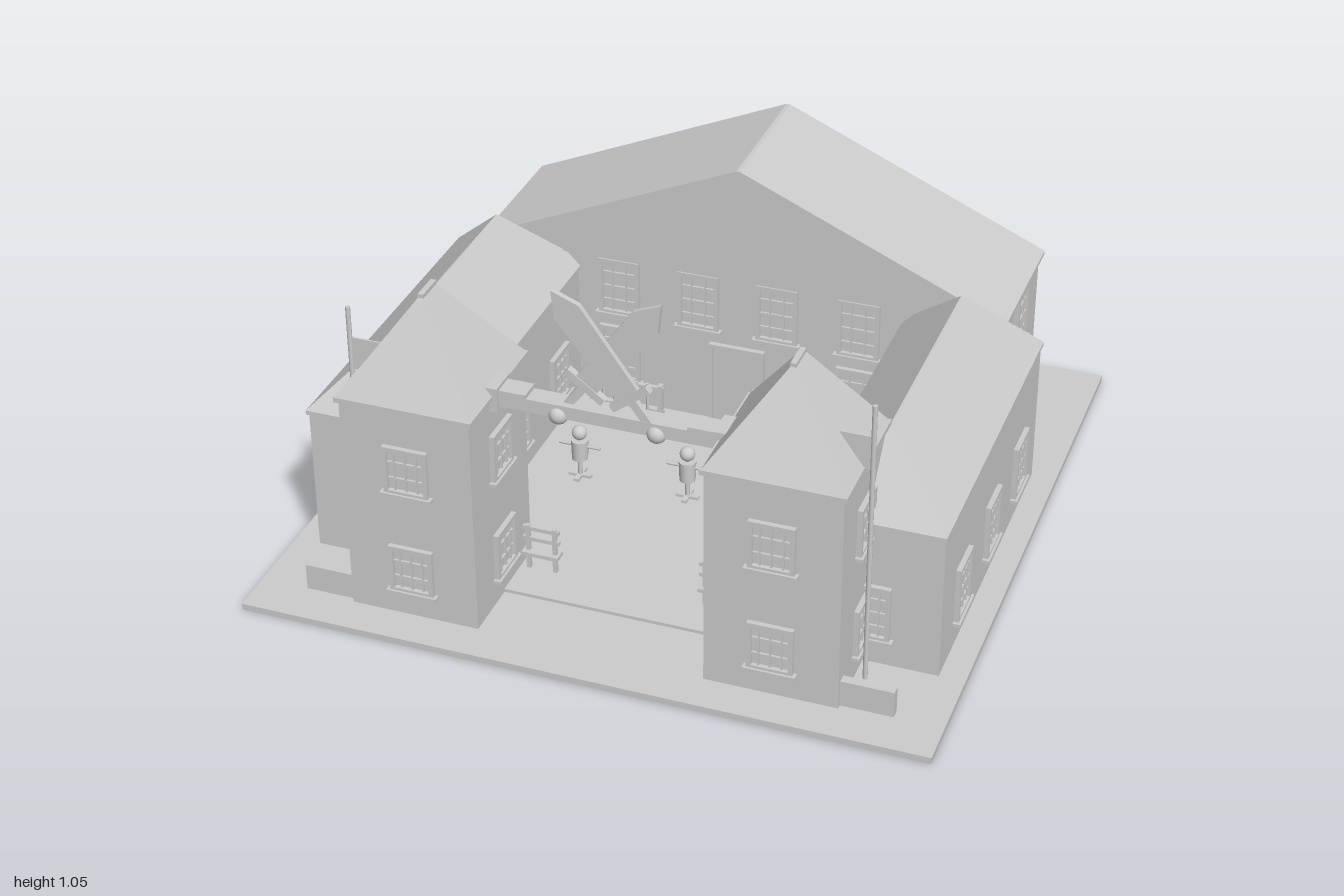
import * as THREE from 'three';

const stone = new THREE.MeshStandardMaterial({ color: 0xcccccc });
stone.name = 'light grey';

function mesh(parent, geo, name, x = 0, y = 0, z = 0) {
  const m = new THREE.Mesh(geo, stone);
  m.name = name;
  m.position.set(x, y, z);
  parent.add(m);
  return m;
}

// Box given by its lower and upper corners
function block(parent, name, x0, x1, y0, y1, z0, z1) {
  return mesh(parent, new THREE.BoxGeometry(x1 - x0, y1 - y0, z1 - z0), name,
    (x0 + x1) / 2, (y0 + y1) / 2, (z0 + z1) / 2);
}

// Box whose top face shrinks to the given ridge size
function roof(parent, name, x, y, z, w, h, d, topW, topD) {
  const g = new THREE.BoxGeometry(w, h, d);
  const p = g.attributes.position;
  for (let i = 0; i < p.count; i++) {
    if (p.getY(i) > 0) p.setXYZ(i, Math.sign(p.getX(i)) * topW / 2, h / 2, Math.sign(p.getZ(i)) * topD / 2);
  }
  const flat = g.toNonIndexed();
  flat.computeVertexNormals();
  return mesh(parent, flat, name, x, y + h / 2, z);
}

// Framed window with glazing bars; faces +z before turning
function windowAt(parent, x, y, z, h, turn, cols = 4) {
  const g = new THREE.Group();
  g.name = 'window';
  const w = 0.13, t = 0.013, rows = h > 0.16 ? 4 : 3;
  block(g, 'pane', -w / 2, w / 2, -h / 2, h / 2, -0.005, 0.002);
  for (const s of [-1, 1]) {
    mesh(g, new THREE.BoxGeometry(t, h, 0.022), 'frameSide', s * (w - t) / 2, 0, 0.004);
    mesh(g, new THREE.BoxGeometry(w, t, 0.022), 'frameRail', 0, s * (h - t) / 2, 0.004);
  }
  for (let i = 1; i < cols; i++) {
    mesh(g, new THREE.BoxGeometry(0.005, h, 0.01), 'verticalBar', -w / 2 + w * i / cols, 0, 0.004);
  }
  for (let i = 1; i < rows; i++) {
    mesh(g, new THREE.BoxGeometry(w, 0.005, 0.01), 'crossBar', 0, -h / 2 + h * i / rows, 0.004);
  }
  mesh(g, new THREE.BoxGeometry(w + 0.02, 0.01, 0.03), 'sill', 0, -h / 2, 0.007);
  g.position.set(x, y, z);
  g.rotation.y = turn;
  parent.add(g);
}

const LEFT = Math.PI / 2, RIGHT = -Math.PI / 2, BACK = Math.PI;

function mainHall() {
  const g = new THREE.Group();
  g.name = 'mainHall';
  block(g, 'hallWalls', -0.81, 0.81, 0.02, 0.53, -0.81, -0.355);
  block(g, 'hallEaves', -0.825, 0.825, 0.525, 0.537, -0.818, -0.345);
  roof(g, 'hallRoof', 0, 0.537, -0.5815, 1.65, 0.358, 0.473, 0.012, 0.473);
  for (const y of [0.195, 0.43]) {
    for (const s of [-1, 1]) {
      for (const x of [0.125, 0.38, 0.63]) {
        windowAt(g, s * x, y, -0.81, 0.19, BACK, 3);
        if (x < 0.5 && (y > 0.3 || x > 0.3)) windowAt(g, s * x, y, -0.355, 0.19, 0, 3);
      }
      windowAt(g, s * 0.81, y, -0.58, 0.19, s > 0 ? LEFT : RIGHT, 3);
    }
  }
  // Entrance door
  block(g, 'door', -0.075, 0.075, 0.02, 0.28, -0.36, -0.347);
  for (const s of [-1, 1]) mesh(g, new THREE.BoxGeometry(0.012, 0.27, 0.025), 'doorPost', s * 0.082, 0.155, -0.35);
  block(g, 'doorLintel', -0.088, 0.088, 0.28, 0.293, -0.362, -0.338);
  mesh(g, new THREE.SphereGeometry(0.006, 10, 8), 'doorKnob', 0.055, 0.15, -0.344);
  return g;
}

function wing(s) {
  const g = new THREE.Group();
  g.name = s > 0 ? 'leftWing' : 'rightWing';
  const x = s * 0.72;
  block(g, 'wingWalls', x - 0.205, x + 0.205, 0.02, 0.47, -0.38, 0.66);
  block(g, 'wingEaves', x - 0.21, x + 0.21, 0.465, 0.478, -0.39, 0.67);
  roof(g, 'wingRoof', x, 0.478, 0.14, 0.42, 0.207, 1.06, 0.006, 0.72);
  for (const z of [0.46, 0.145, -0.17]) {
    windowAt(g, s * 0.925, 0.19, z, 0.175, s > 0 ? LEFT : RIGHT);
    windowAt(g, s * 0.515, 0.19, z, 0.175, s > 0 ? RIGHT : LEFT);
  }
  windowAt(g, x, 0.19, 0.66, 0.175, 0);
  return g;
}

function tower(s) {
  const g = new THREE.Group();
  g.name = s > 0 ? 'leftTower' : 'rightTower';
  const x = s * 0.52, z = 0.695;
  block(g, 'towerWalls', x - 0.19, x + 0.19, 0.02, 0.685, z - 0.19, z + 0.19);
  block(g, 'towerEaves', x - 0.2, x + 0.2, 0.685, 0.7, z - 0.2, z + 0.2);
  roof(g, 'towerRoof', x, 0.7, z, 0.39, 0.265, 0.39, 0.008, 0.08);
  mesh(g, new THREE.BoxGeometry(0.016, 0.012, 0.085), 'ridgeCap', x, 0.966, z);
  for (const y of [0.175, 0.5]) {
    windowAt(g, x, y, z + 0.19, 0.15, 0);
    windowAt(g, x + 0.19, y, z, 0.15, LEFT);
    windowAt(g, x - 0.19, y, z, 0.15, RIGHT);
  }
  windowAt(g, x, 0.5, z - 0.19, 0.15, BACK);
  // Low wall, flag and bench beside the tower
  mesh(g, new THREE.BoxGeometry(0.15, 0.08, 0.028), 'lowWall', s * 0.785, 0.06, 0.857);
  mesh(g, new THREE.CylinderGeometry(0.007, 0.007, 0.87, 10), 'flagPole', s * 0.74, 0.455, 0.735);
  mesh(g, new THREE.BoxGeometry(0.1, 0.1, 0.005), 'flag', s * 0.692, 0.745, 0.735);
  for (const [y, d] of [[0.085, 0.04], [0.13, 0.012], [0.165, 0.012]]) {
    mesh(g, new THREE.BoxGeometry(0.11, 0.012, d), 'benchPlank', s * 0.265, y, 0.575);
  }
  for (const dx of [-0.04, 0.04]) {
    mesh(g, new THREE.BoxGeometry(0.012, 0.15, 0.012), 'benchPost', s * 0.265 + dx, 0.1, 0.575);
  }
  return g;
}

// Crossed swords on the gate beam
function sword(s, z) {
  const g = new THREE.Group();
  g.name = 'sword';
  const pts = [[-0.036, 0.13], [0.036, 0.13], [0.044, 0.41], [0, 0.482], [-0.044, 0.41]];
  const shape = new THREE.Shape(pts.map(p => new THREE.Vector2(...p)));
  mesh(g, new THREE.ExtrudeGeometry(shape, { depth: 0.016, bevelEnabled: false }), 'blade', 0, 0, -0.008);
  mesh(g, new THREE.BoxGeometry(0.13, 0.022, 0.022), 'crossGuard', 0, 0.12, 0);
  mesh(g, new THREE.BoxGeometry(0.024, 0.12, 0.018), 'grip', 0, 0.06, 0);
  mesh(g, new THREE.SphereGeometry(0.028, 20, 14), 'pommel', 0, 0, 0.71 - z + 0.008);
  g.position.set(-s * 0.14, 0.665, z);
  g.rotation.z = -s * Math.atan2(0.29, 0.385);
  return g;
}

function gate() {
  const g = new THREE.Group();
  g.name = 'gate';
  block(g, 'gateBeam', -0.33, 0.33, 0.66, 0.7, 0.67, 0.73);
  for (const s of [-1, 1]) {
    mesh(g, new THREE.BoxGeometry(0.1, 0.025, 0.065), 'beamStep', s * 0.28, 0.7, 0.7);
    mesh(g, new THREE.BoxGeometry(0.035, 0.075, 0.09), 'beamBracket', s * 0.325, 0.685, 0.7);
  }
  g.add(sword(1, 0.702), sword(-1, 0.72));
  return g;
}

function trainingDummy(x) {
  const g = new THREE.Group();
  g.name = 'trainingDummy';
  mesh(g, new THREE.BoxGeometry(0.07, 0.01, 0.016), 'footBar', 0, 0.034, 0);
  mesh(g, new THREE.BoxGeometry(0.016, 0.01, 0.07), 'footBar', 0, 0.034, 0);
  mesh(g, new THREE.CylinderGeometry(0.007, 0.007, 0.14, 10), 'post', 0, 0.1, 0);
  mesh(g, new THREE.CylinderGeometry(0.026, 0.024, 0.065, 16), 'body', 0, 0.125, 0);
  mesh(g, new THREE.CylinderGeometry(0.005, 0.005, 0.13, 8), 'arms', 0, 0.138, 0).rotation.z = Math.PI / 2;
  mesh(g, new THREE.SphereGeometry(0.023, 20, 14), 'head', 0, 0.183, 0);
  g.position.set(x, 0, 0.095);
  return g;
}

function weaponRack(x) {
  const g = new THREE.Group();
  g.name = 'weaponRack';
  for (const y of [0.08, 0.16]) mesh(g, new THREE.BoxGeometry(0.24, 0.014, 0.014), 'rail', 0, y, 0);
  for (const s of [-1, 1]) mesh(g, new THREE.BoxGeometry(0.014, 0.15, 0.02), 'leg', s * 0.11, 0.1, 0);
  for (let i = -2; i <= 2; i++) {
    mesh(g, new THREE.CylinderGeometry(0.005, 0.005, 0.15, 8), 'weapon', i * 0.036, 0.105, 0.012);
  }
  g.position.set(x, 0, -0.245);
  return g;
}

export function createModel() {
  const model = new THREE.Group();
  model.name = 'courtyardBarracks';
  block(model, 'ground', -1, 1, 0, 0.02, -1, 1);
  block(model, 'courtyardFloor', -0.51, 0.51, 0.02, 0.03, -0.26, 0.7);
  model.add(mainHall(), gate());
  for (const s of [-1, 1]) model.add(wing(s), tower(s), weaponRack(s * 0.32));
  for (const x of [-0.34, 0, 0.34]) model.add(trainingDummy(x));
  return model;
}
